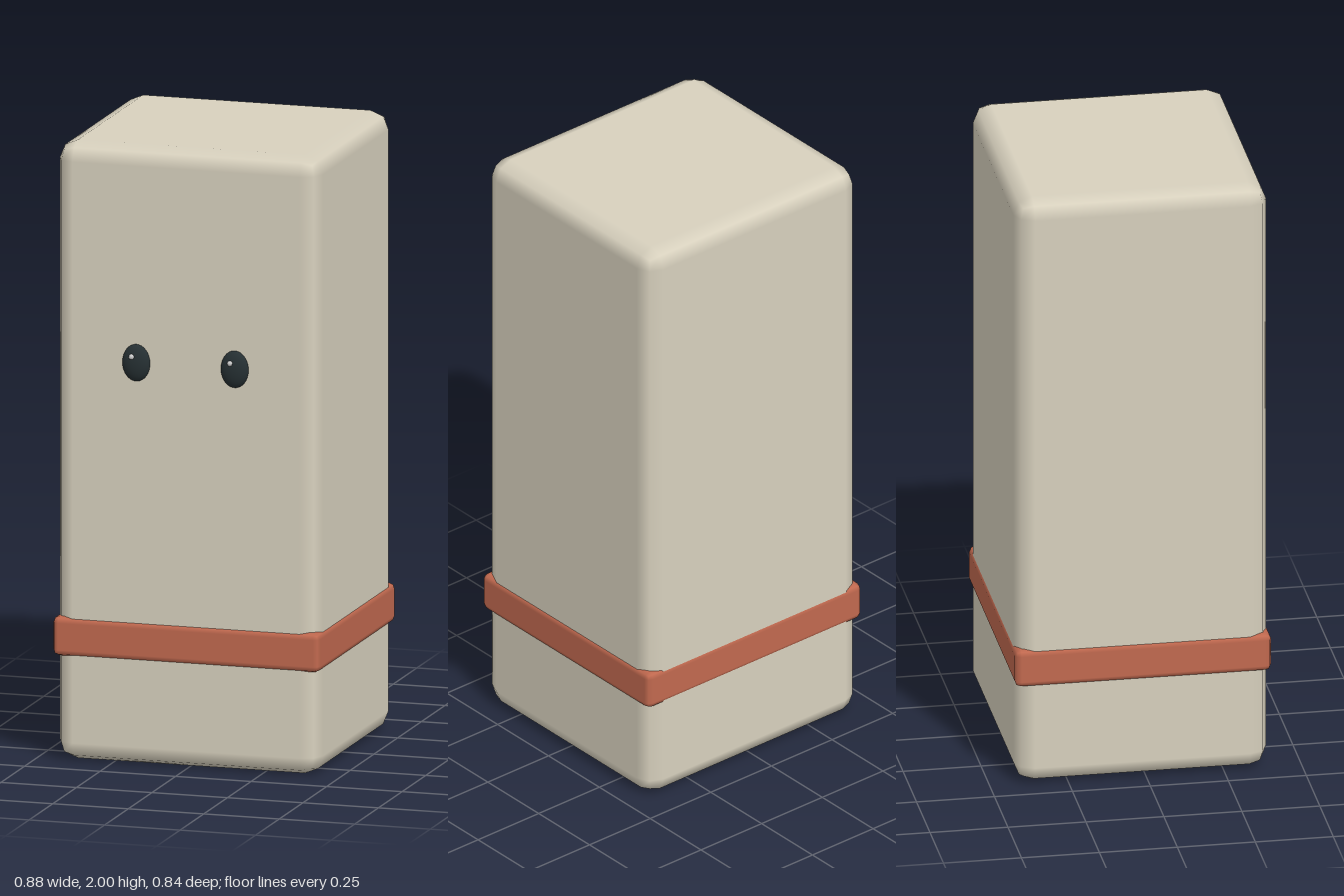
import * as THREE from 'three';
import { RoundedBoxGeometry } from 'three/addons/geometries/RoundedBoxGeometry.js';

const material = (color) => new THREE.MeshStandardMaterial({ color });

export function createModel() {
  const group = new THREE.Group();
  const cream = material(0xd8d1be);
  const rust = material(0xc1694f);
  const dark = material(0x263033);
  const white = material(0xffffff);

  const add = (name, geometry, mat, x, y, z, parent = group) => {
    const mesh = new THREE.Mesh(geometry, mat);
    mesh.name = name;
    mesh.position.set(x, y, z);
    parent.add(mesh);
    return mesh;
  };

  // tall block body with softened edges
  add('body', new RoundedBoxGeometry(0.872, 2, 0.81, 1, 0.06), cream, 0, 1, -0.013);

  // band wrapped round the lower body
  add('band', new RoundedBoxGeometry(0.884, 0.127, 0.822, 1, 0.02), rust, 0, 0.403, -0.011);

  // flattened oval eyes, each with a small glint
  const eyeGeometry = new THREE.SphereGeometry(1, 24, 16).scale(0.046, 0.06, 0.024);
  const glintGeometry = new THREE.SphereGeometry(0.009, 12, 8);
  for (const [side, x] of [['left', 0.162], ['right', -0.164]]) {
    const eye = new THREE.Group();
    eye.name = `${side}Eye`;
    eye.position.set(x, 1.305, 0.391);
    add(`${side}EyeBall`, eyeGeometry, dark, 0, 0, 0, eye);
    add(`${side}EyeGlint`, glintGeometry, white, -0.01, 0.022, 0.021, eye);
    group.add(eye);
  }

  return group;
}
